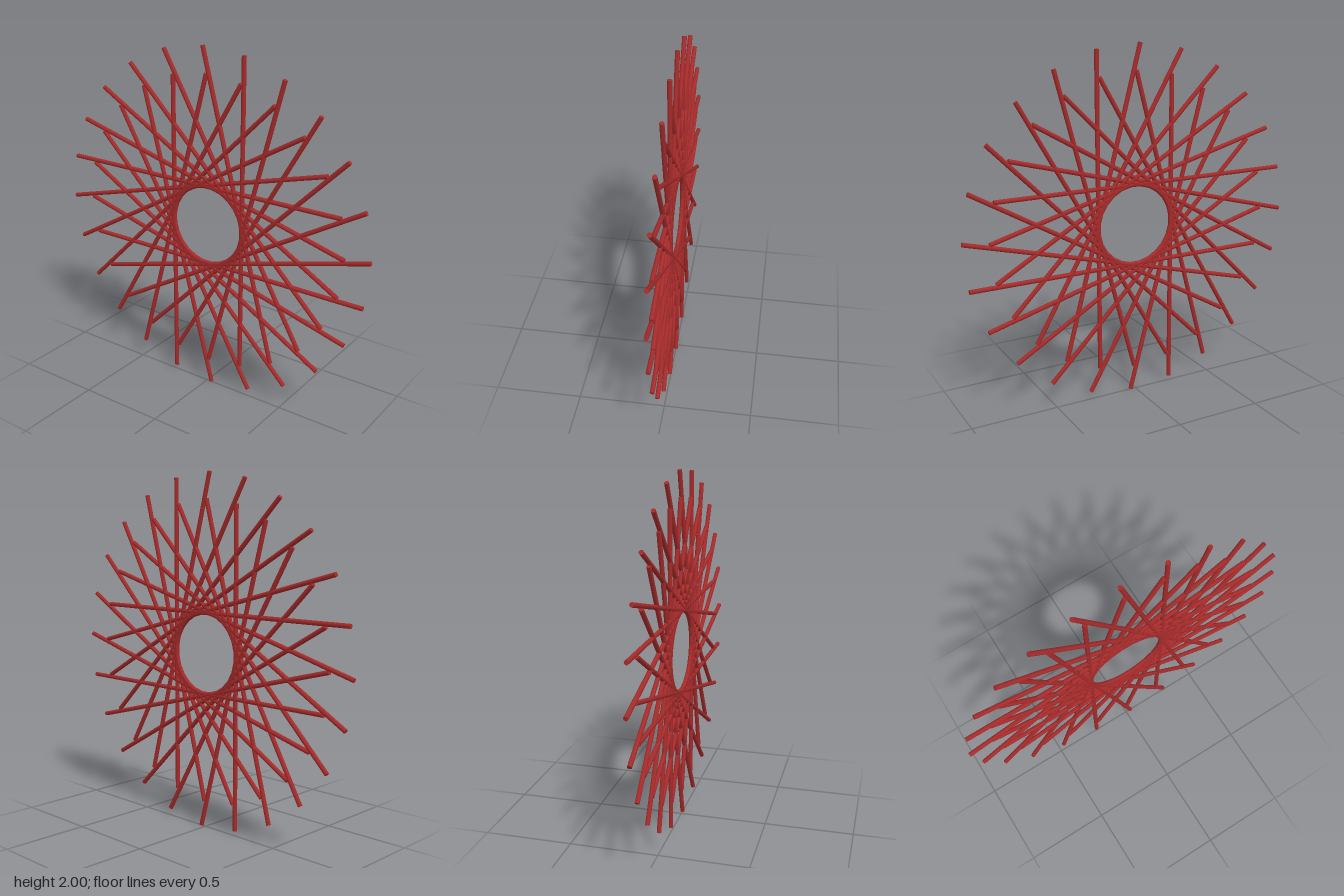
import * as THREE from 'three';

export function createModel() {
  const model = new THREE.Group();
  model.name = 'stickRosette';

  const count = 24;       // sticks, 15 degrees apart
  const offset = 0.228;   // distance of each stick from the hub centre
  const radius = 0.0125;
  const start = -0.971, end = 0.82; // long and short reach along the stick

  const material = new THREE.MeshStandardMaterial({ color: 0xa52a2a });

  // One round stick lying tangent to the central opening
  const stickGeometry = new THREE.CylinderGeometry(radius, radius, end - start, 12);
  stickGeometry.rotateZ(-Math.PI / 2);
  stickGeometry.translate((start + end) / 2, offset, 0);

  // Repeat the stick around the centre
  for (let i = 0; i < count; i++) {
    const stick = new THREE.Mesh(stickGeometry, material);
    stick.name = `stick${i + 1}`;
    stick.position.y = 1;
    stick.rotation.z = (i / count) * Math.PI * 2;
    model.add(stick);
  }
  return model;
}
